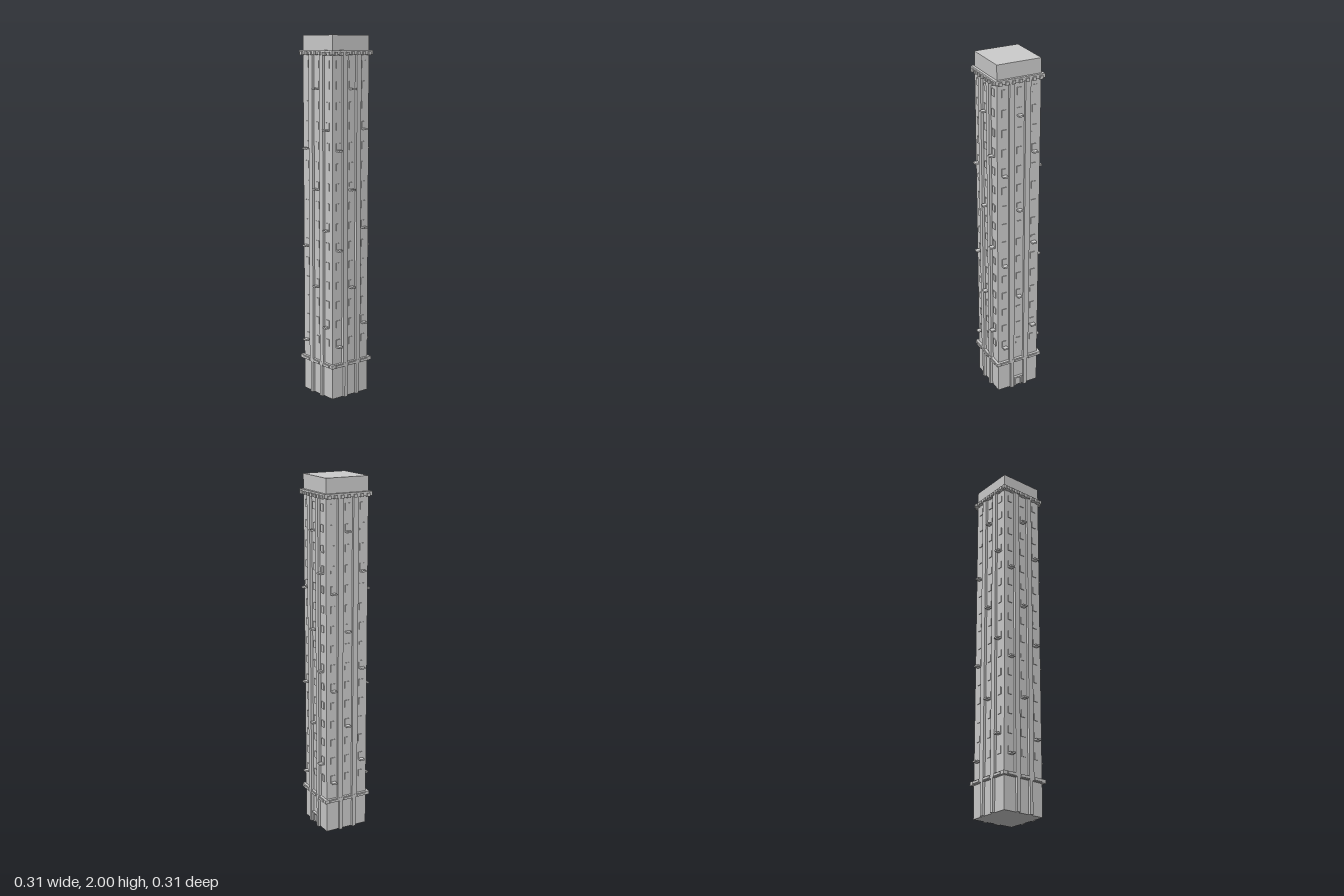
import * as THREE from 'three';

const material = new THREE.MeshStandardMaterial({ color: 0xcccccc, flatShading: true });
const HALF = 0.127;                 // half width of the square tower
const COLUMNS = [-0.0885, 0, 0.0885];
const FLOORS = 15, FLOOR_HEIGHT = 0.109, FIRST_FLOOR = 0.3;

// Box standing on y0, spanning y0..y1 and z0..z1, centred on x
function block(parent, name, x, width, y0, y1, z0, z1) {
  const mesh = new THREE.Mesh(new THREE.BoxGeometry(width, y1 - y0, z1 - z0), material);
  mesh.position.set(x, (y0 + y1) / 2, (z0 + z1) / 2);
  mesh.name = name;
  parent.add(mesh);
}

// Everything applied to one wall, built facing +z
function createFacade() {
  const facade = new THREE.Group();
  facade.name = 'facade';
  const wall = HALF - 0.005;

  // Pilasters of the base and the shaft
  for (const side of [-1, 1]) {
    block(facade, 'basePilaster', side * 0.042, 0.019, 0, 0.18, wall, 0.142);
    block(facade, 'shaftPilaster', side * 0.046, 0.031, 0.2, 1.897, wall, 0.141);
  }

  // Windows, with a balcony on a repeating pattern of floors
  for (let floor = 0; floor < FLOORS; floor++) {
    const y = FIRST_FLOOR + floor * FLOOR_HEIGHT;
    COLUMNS.forEach((x, column) => {
      block(facade, 'window', x, 0.026, y, y + 0.04, wall, HALF + 0.004);
      if (floor % 5 === [0, 3, 1][column]) {
        block(facade, 'balcony', x, 0.027, y - 0.005, y + 0.004, wall, 0.1565);
      }
    });
  }

  // Dentils under the cornice and blocks on the lower belt
  for (let i = -3; i <= 3; i++) {
    block(facade, 'corniceDentil', i * 0.039, 0.018, 1.894, 1.912, wall, 0.15);
  }
  for (const x of COLUMNS) {
    block(facade, 'beltBlock', x, 0.056, 0.183, 0.196, wall, 0.147);
  }
  return facade;
}

// Rear doorway: jambs, lintel and canopy
function createEntrance() {
  const entrance = new THREE.Group();
  entrance.name = 'entrance';
  for (const side of [-1, 1]) {
    block(entrance, 'doorJamb', side * 0.02, 0.008, 0, 0.06, 0.12, 0.136);
  }
  block(entrance, 'doorLintel', 0, 0.048, 0.052, 0.06, 0.12, 0.136);
  block(entrance, 'doorCanopy', 0, 0.052, 0.06, 0.067, 0.12, 0.142);
  entrance.rotation.y = Math.PI;
  return entrance;
}

export function createModel() {
  const tower = new THREE.Group();
  tower.name = 'tower';

  // Core: shaft with roof block, belt and cornice slabs
  block(tower, 'shaft', 0, HALF * 2, 0, 2, -HALF, HALF);
  block(tower, 'belt', 0, 0.284, 0.18, 0.2, -0.142, 0.142);
  block(tower, 'cornice', 0, 0.284, 1.897, 1.92, -0.142, 0.142);

  // Four identical walls
  for (let i = 0; i < 4; i++) {
    const facade = createFacade();
    facade.rotation.y = i * Math.PI / 2;
    tower.add(facade);
  }
  tower.add(createEntrance());
  return tower;
}
